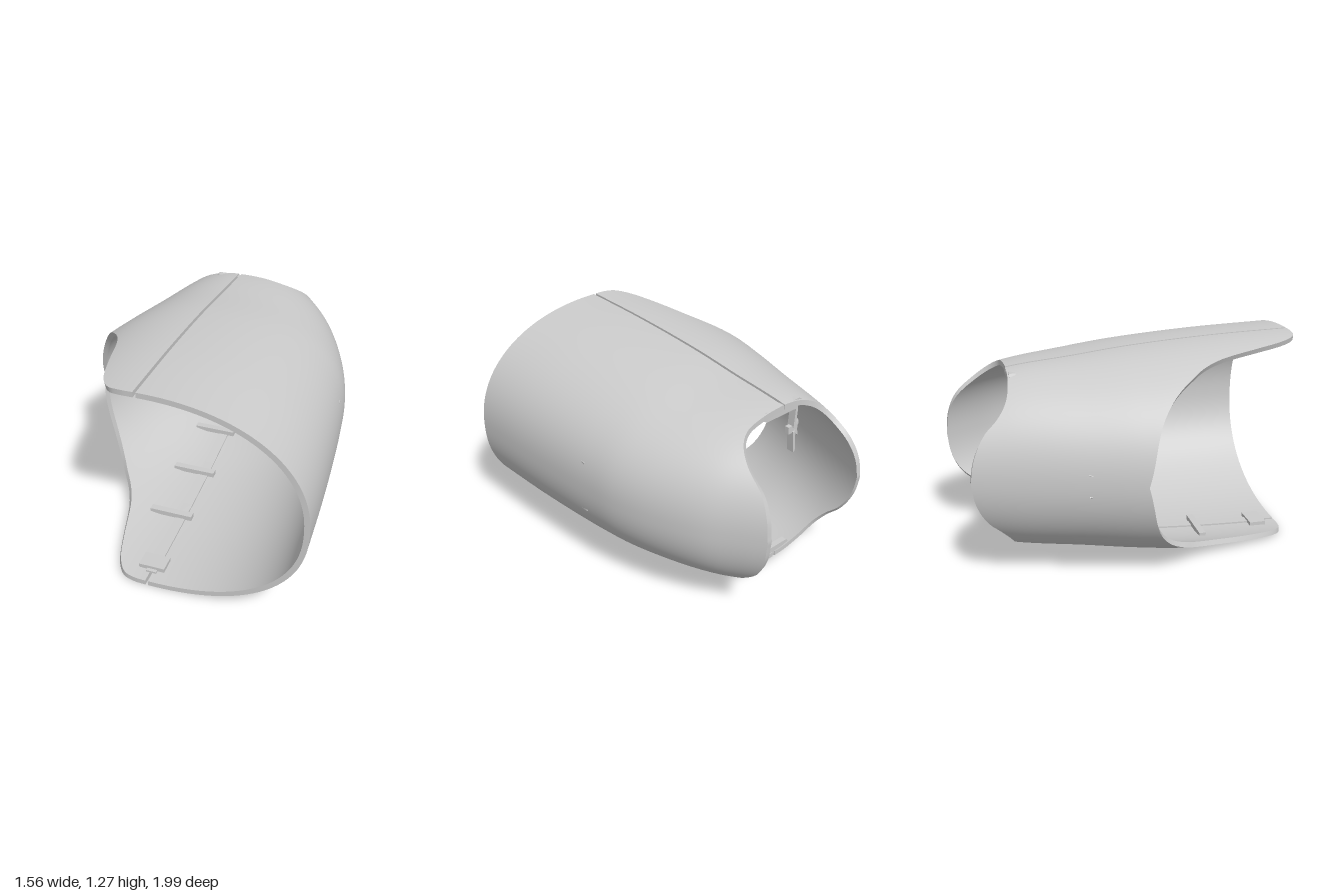
import * as THREE from 'three';

const MID_Y = 0.64, SEAM_X = -0.11, GAP = 0.008, WALL = 0.03;
const rad = THREE.MathUtils.degToRad;
const material = new THREE.MeshStandardMaterial({ color: 0xcccccc, side: THREE.DoubleSide });

// smooth interpolation through [position, value] pairs
function curve(pairs) {
  const c = new THREE.CubicInterpolant(pairs.map(p => p[0]), pairs.map(p => p[1]), 1, [0]);
  return t => c.evaluate(t)[0];
}

// half height of the shell along z
const height = curve([[-1, 0.43], [-0.92, 0.45], [-0.8, 0.48], [-0.66, 0.51], [-0.3, 0.55],
  [0, 0.585], [0.5, 0.62], [0.985, 0.636]]);

// half width along z; end positions as a function of the angle from the side (0) to the seam (90)
const halves = {
  leftShell: {
    side: 1, power: 2 / 2.25,
    width: curve([[-1, 0.43], [-0.85, 0.53], [-0.7, 0.63], [-0.45, 0.74], [-0.2, 0.81],
      [0, 0.835], [0.2, 0.853], [0.6, 0.878], [0.985, 0.892]]),
    back: curve([[0, -1], [16.6, -0.98], [33, -0.92], [48, -0.8], [60, -0.715], [67, -0.685], [78, -0.675], [90, -0.67]]),
    front: () => 0.985,
  },
  rightShell: {
    side: -1, power: 2 / 2.1,
    width: curve([[-0.92, 0.41], [-0.68, 0.48], [-0.3, 0.59], [-0.02, 0.67], [0.2, 0.725],
      [0.7, 0.76], [0.985, 0.77]]),
    back: curve([[0, -0.92], [16, -0.895], [32, -0.83], [41, -0.76], [51, -0.71], [68, -0.68], [90, -0.67]]),
    front: curve([[0, -0.02], [37, 0.1], [53, 0.25], [65.6, 0.47], [71, 0.7], [75, 0.86],
      [79.5, 0.955], [85, 0.982], [90, 0.985]]),
  },
};

// point on a half: angle in degrees, v from back (0) to front (1), inset from the outside
function shellPoint(half, angle, v, inset) {
  const a = Math.abs(angle);
  const z = THREE.MathUtils.lerp(half.back(a), half.front(a), v);
  const c = Math.max(0, Math.cos(rad(a))) ** half.power;
  const s = Math.sin(rad(a)) ** half.power * Math.sign(angle);
  return [SEAM_X + half.side * (GAP + (half.width(z) - GAP - inset) * c),
    MID_Y + (height(z) - inset) * s, z];
}

// grid surface from a function of u, v in 0..1
function patch(fn, nu, nv, flip) {
  const pos = [], index = [];
  for (let i = 0; i <= nu; i++)
    for (let j = 0; j <= nv; j++) pos.push(...fn(i / nu, j / nv));
  for (let i = 0; i < nu; i++)
    for (let j = 0; j < nv; j++) {
      const a = i * (nv + 1) + j, b = a + nv + 1;
      if (flip) index.push(a, a + 1, b, b, a + 1, b + 1);
      else index.push(a, b, a + 1, b, b + 1, a + 1);
    }
  const g = new THREE.BufferGeometry();
  g.setAttribute('position', new THREE.Float32BufferAttribute(pos, 3));
  g.setIndex(index);
  g.computeVertexNormals();
  return g;
}

function add(parent, name, geometry) {
  const mesh = new THREE.Mesh(geometry, material);
  mesh.name = name;
  parent.add(mesh);
  return mesh;
}

function box(parent, name, size, at, rotation = [0, 0, 0]) {
  const mesh = add(parent, name, new THREE.BoxGeometry(...size));
  mesh.position.set(...at);
  mesh.rotation.set(...rotation);
  return mesh;
}

// one half: two walls, two rims and the edges along the seam
function makeHalf(name, half) {
  const group = new THREE.Group();
  group.name = name;
  const angle = u => -90 + 180 * u;
  const flip = half.side > 0;
  add(group, 'outerWall', patch((u, v) => shellPoint(half, angle(u), v, 0), 120, 40, !flip ? true : false));
  add(group, 'innerWall', patch((u, v) => shellPoint(half, angle(u), v, WALL), 120, 40, flip));
  add(group, 'frontRim', patch((u, w) => shellPoint(half, angle(u), 1, WALL * w), 120, 1, !flip));
  add(group, 'backRim', patch((u, w) => shellPoint(half, angle(u), 0, WALL * w), 120, 1, flip));
  for (const end of [-90, 90])
    add(group, 'seamEdge', patch((v, w) => shellPoint(half, end, v, WALL * w), 40, 1, (end > 0) === flip));
  return group;
}

// inner fittings that join the halves, above (1) or below (-1)
function makeJoint(up) {
  const group = new THREE.Group();
  group.name = up > 0 ? 'upperJoint' : 'lowerJoint';
  const y = (z, inset) => MID_Y + up * (height(z) - inset);

  // strip closing the seam from inside
  const strip = new THREE.Shape();
  const steps = 16, zAt = i => -0.64 + 1.56 * i / steps;
  strip.moveTo(zAt(0), y(zAt(0), 0.026));
  for (let i = 1; i <= steps; i++) strip.lineTo(zAt(i), y(zAt(i), 0.026));
  for (let i = steps; i >= 0; i--) strip.lineTo(zAt(i), y(zAt(i), 0.04));
  const g = new THREE.ExtrudeGeometry(strip, { depth: 0.06, bevelEnabled: false });
  g.rotateY(-Math.PI / 2);
  add(group, 'seamStrip', g).position.x = SEAM_X + 0.03;

  // ribs across the seam
  for (const z of [-0.35, 0.05, 0.45])
    box(group, 'seamRib', [0.26, 0.03, 0.04], [-0.17, y(z, 0.05), z]);
  box(group, 'frontTab', [0.15, 0.025, 0.1], [-0.115, y(0.85, 0.042), 0.85]);

  // lug with sloping ends at the rear opening
  const lug = new THREE.Shape([[-0.15, 0.03], [-0.11, -0.015], [0.12, -0.015], [0.17, 0.02], [0.13, 0.045], [-0.13, 0.045]]
    .map(([x, h]) => new THREE.Vector2(x, h * up)));
  const lugMesh = add(group, 'rearLug', new THREE.ExtrudeGeometry(lug, { depth: 0.035, bevelEnabled: false }));
  lugMesh.position.set(SEAM_X, y(-0.66, 0.05), -0.665);
  return group;
}

// bracket on the inside of a side wall
function makeBracket(name, x, z, side, reach) {
  const group = new THREE.Group();
  group.name = name;
  group.position.set(x, MID_Y, z);
  for (const up of [-1, 1]) {
    box(group, 'bracketArm', [0.02, 0.15, 0.05], [0, up * 0.09, 0], [0, 0, -side * up * 0.08]);
    box(group, 'bracketBrace', [reach, 0.02, 0.04], [side * reach * 0.4, up * 0.04, 0], [0, 0, side * up * 0.8]);
  }
  box(group, 'bracketPin', [reach, 0.05, 0.03], [-side * reach * 0.1, 0, 0]);
  return group;
}

export function createModel() {
  const model = new THREE.Group();
  model.name = 'splitShell';
  for (const name in halves) model.add(makeHalf(name, halves[name]));
  model.add(makeJoint(1), makeJoint(-1));
  model.add(makeBracket('leftBracket', 0.695, 0.05, 1, 0.03));
  model.add(makeBracket('rightBracket', -0.63, -0.3, -1, 0.08));
  return model;
}
